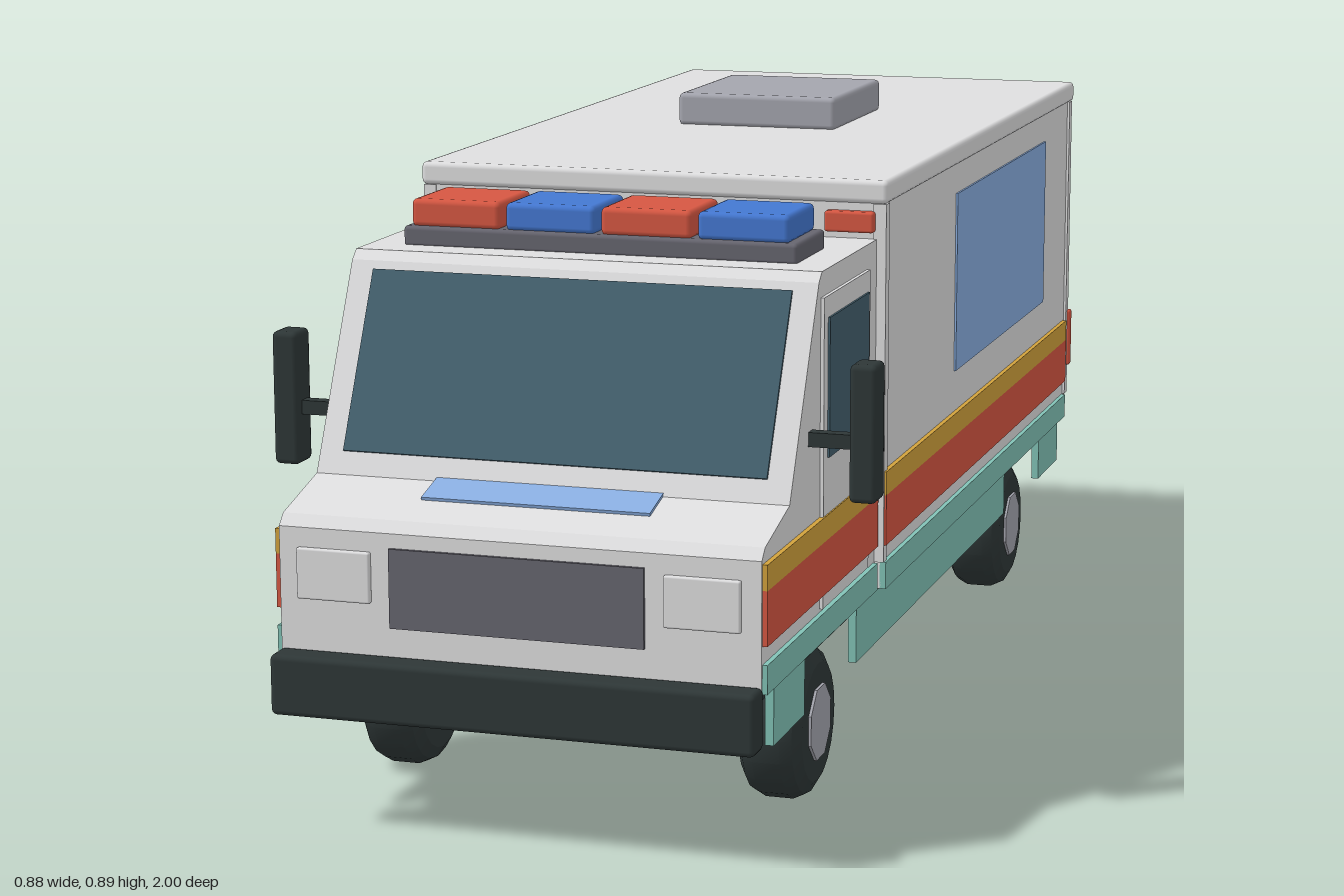
import * as THREE from 'three';
import { toCreasedNormals } from 'three/addons/utils/BufferGeometryUtils.js';
import { RoundedBoxGeometry } from 'three/addons/geometries/RoundedBoxGeometry.js';

const mat = (name, color) => {
  const m = new THREE.MeshStandardMaterial({ color });
  m.name = name;
  return m;
};

export function createModel() {
  const white = mat('white paint', 0xdededf);
  const grey = mat('grey metal', 0xa4a5ae);
  const slate = mat('slate grille', 0x66656f);
  const dark = mat('dark rubber', 0x2e3737);
  const glass = mat('dark glass', 0x43606e);
  const pale = mat('pale blue', 0x8aafe2);
  const blue = mat('signal blue', 0x4478d2);
  const red = mat('signal red', 0xd65742);
  const yellow = mat('yellow stripe', 0xd2a23c);
  const teal = mat('teal skirt', 0x82c2b6);

  const group = new THREE.Group();
  group.name = 'emergencyVan';

  const add = (name, geo, m) => {
    const mesh = new THREE.Mesh(geo, m);
    mesh.name = name;
    group.add(mesh);
    return mesh;
  };
  // Box given by its limits on each axis, with an optional rounded edge
  const block = (name, m, [x0, x1], [y0, y1], [z0, z1], r = 0) => {
    const s = [x1 - x0, y1 - y0, z1 - z0];
    const geo = r ? new RoundedBoxGeometry(...s, 2, r) : new THREE.BoxGeometry(...s);
    geo.translate((x0 + x1) / 2, (y0 + y1) / 2, (z0 + z1) / 2);
    return add(name, geo, m);
  };
  // Same box on the left and the right
  const pair = (name, m, [x0, x1], y, z, r) => {
    block(name + 'Left', m, [x0, x1], y, z, r);
    block(name + 'Right', m, [-x1, -x0], y, z, r);
  };
  // Thin plate lying on a slope between two points (z, y)
  const slopePlate = (name, m, w, [z0, y0], [z1, y1]) => {
    const dz = z1 - z0, dy = y1 - y0;
    const mesh = add(name, new THREE.BoxGeometry(w, Math.hypot(dz, dy), 0.008), m);
    mesh.position.set(0, (y0 + y1) / 2, (z0 + z1) / 2);
    mesh.rotation.x = Math.atan2(dz, dy);
  };

  // Cab: side profile extruded across the width
  const profile = [[0.38, 0.24], [0.96, 0.24], [0.96, 0.42], [0.945, 0.435], [0.83, 0.465],
    [0.69, 0.742], [0.675, 0.755], [0.38, 0.755]];
  const cab = new THREE.ExtrudeGeometry(
    new THREE.Shape(profile.map(p => new THREE.Vector2(...p))), { depth: 0.68, bevelEnabled: false });
  cab.rotateY(-Math.PI / 2).translate(0.34, 0, 0);
  add('cab', cab, white);
  slopePlate('windshield', glass, 0.61, [0.815, 0.495], [0.696, 0.73]);
  slopePlate('hoodStripe', pale, 0.326, [0.885, 0.451], [0.822, 0.467]);

  // Nose details
  block('grille', slate, [-0.18, 0.18], [0.29, 0.4], [0.958, 0.965]);
  pair('headlight', white, [0.207, 0.313], [0.322, 0.393], [0.958, 0.968], 0.003);
  block('frontBumper', dark, [-0.342, 0.342], [0.165, 0.25], [0.955, 1], 0.008);

  // Cab doors and mirrors
  pair('cabDoor', white, [0.335, 0.345], [0.285, 0.72], [0.435, 0.68]);
  pair('cabWindow', glass, [0.341, 0.348], [0.495, 0.69], [0.45, 0.66]);
  pair('cabHandle', slate, [0.341, 0.366], [0.445, 0.46], [0.453, 0.493], 0.005);
  pair('mirrorArm', dark, [0.335, 0.41], [0.526, 0.546], [0.72, 0.74]);
  pair('mirror', dark, [0.4, 0.438], [0.455, 0.645], [0.705, 0.755], 0.008);

  // Rear body with roof, corner posts and roof vent
  block('body', white, [-0.35, 0.35], [0.24, 0.81], [-0.93, 0.38]);
  block('roof', white, [-0.357, 0.357], [0.806, 0.84], [-0.936, 0.386], 0.008);
  for (const z of [-0.933, 0.363]) pair('cornerPost', white, [0.335, 0.354], [0.28, 0.806], [z, z + 0.02]);
  block('roofVent', grey, [-0.13, 0.13], [0.838, 0.89], [-0.44, -0.155], 0.008);
  pair('sidePanel', pale, [0.347, 0.353], [0.48, 0.76], [-0.72, -0.065]);

  // Side door with step, on the right only
  block('sideDoor', white, [-0.355, -0.345], [0.285, 0.75], [0.06, 0.33]);
  block('sideDoorWindow', glass, [-0.358, -0.35], [0.495, 0.69], [0.1, 0.295]);
  block('sideDoorHandle', slate, [-0.368, -0.35], [0.445, 0.46], [0.08, 0.12], 0.005);
  block('step', dark, [-0.387, -0.3], [0.18, 0.202], [0.08, 0.3], 0.005);

  // Stripes and skirts along both sides
  const bands = [['redStripe', red, 0.305, 0.38], ['yellowStripe', yellow, 0.38, 0.415], ['tealStripe', teal, 0.24, 0.28]];
  for (const [name, m, y0, y1] of bands) {
    pair(name + 'Cab', m, [0.338, 0.347], [y0, y1], [0.388, 0.957]);
    pair(name + 'Body', m, [0.348, 0.357], [y0, y1], [-0.905, 0.38]);
  }
  for (const z of [[0.77, 0.92], [-0.465, 0.5], [-0.9, -0.74]])
    pair('skirt', teal, [0.333, 0.345], [0.16, 0.245], z);

  // Rear doors
  for (const s of [-1, 1]) {
    const span = (a, b) => (s > 0 ? [a, b] : [-b, -a]);
    block('rearDoor', white, span(0.006, 0.305), [0.27, 0.775], [-0.937, -0.925]);
    block('rearWindow', glass, span(0.05, 0.275), [0.56, 0.745], [-0.94, -0.933]);
    block('rearRedStripe', red, span(0.006, 0.305), [0.305, 0.38], [-0.94, -0.933]);
    block('rearYellowStripe', yellow, span(0.006, 0.305), [0.38, 0.415], [-0.94, -0.933]);
    block('rearHandle', slate, span(0.022, 0.036), [0.44, 0.53], [-0.95, -0.93], 0.005);
    block('tailLight', red, span(0.335, 0.359), [0.33, 0.43], [-0.943, -0.925], 0.004);
    // Corner signals at both ends of the body
    const lamp = s > 0 ? red : blue;
    block('rearSignal', lamp, span(0.265, 0.338), [0.765, 0.795], [-0.945, -0.925], 0.004);
    block('frontSignal', lamp, span(0.265, 0.338), [0.765, 0.795], [0.375, 0.396], 0.004);
  }
  block('rearBumper', dark, [-0.31, 0.31], [0.185, 0.235], [-1, -0.92], 0.008);

  // Roof light bar
  block('lightBarBase', slate, [-0.29, 0.29], [0.752, 0.782], [0.478, 0.622], 0.006);
  for (let i = 0; i < 4; i++) {
    const x = -0.28 + i * 0.1413;
    block('beacon', i % 2 ? blue : red, [x, x + 0.133], [0.78, 0.82], [0.484, 0.616], 0.008);
  }

  // Chassis
  block('floor', dark, [-0.333, 0.333], [0.225, 0.243], [-0.92, 0.955]);
  block('frame', dark, [-0.197, 0.197], [0.14, 0.235], [-0.9, 0.88], 0.008);
  for (const z of [0.635, -0.6]) block('axle', dark, [-0.24, 0.24], [0.09, 0.13], [z - 0.02, z + 0.02]);

  // Wheels
  const tyreProfile = [[0, -0.046], [0.085, -0.046], [0.102, -0.036], [0.11, -0.02],
    [0.11, 0.02], [0.102, 0.036], [0.085, 0.046], [0, 0.046]].map(p => new THREE.Vector2(...p));
  const tyre = toCreasedNormals(new THREE.LatheGeometry(tyreProfile, 20).rotateZ(-Math.PI / 2), 0.5);
  const hub = toCreasedNormals(
    new THREE.CylinderGeometry(0.055, 0.055, 0.1, 8).rotateY(Math.PI / 8).rotateZ(Math.PI / 2), 0.5);
  for (const s of [-1, 1]) for (const z of [0.635, -0.6]) {
    add('tyre', tyre, dark).position.set(s * 0.281, 0.11, z);
    add('hub', hub, grey).position.set(s * 0.281, 0.11, z);
  }
  return group;
}
